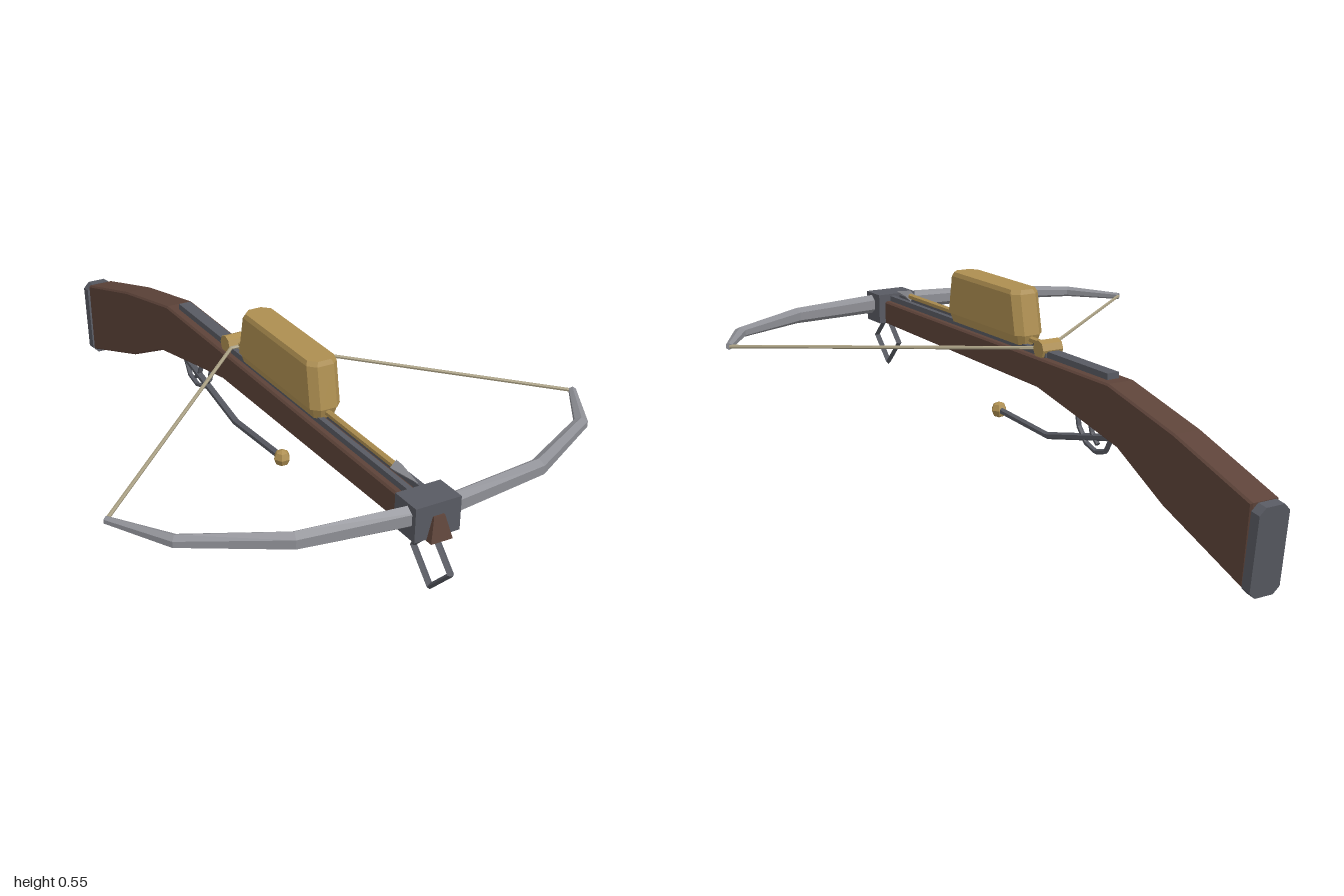
import * as THREE from 'three';

const mat = (name, color) => {
  const m = new THREE.MeshStandardMaterial({ color, flatShading: true });
  m.name = name;
  return m;
};
const V = (x, y, z) => new THREE.Vector3(x, y, z);

// Skin a row of closed rings and cap both ends
function loft(rings) {
  const n = rings[0].length, pos = [], idx = [];
  rings.forEach(r => r.forEach(p => pos.push(p.x, p.y, p.z)));
  for (let i = 0; i < rings.length - 1; i++) {
    for (let j = 0; j < n; j++) {
      const a = i * n + j, b = i * n + (j + 1) % n;
      idx.push(a, b, b + n, a, b + n, a + n);
    }
  }
  const last = (rings.length - 1) * n;
  for (let j = 1; j < n - 1; j++) {
    idx.push(0, j + 1, j, last, last + j, last + j + 1);
  }
  const g = new THREE.BufferGeometry();
  g.setAttribute('position', new THREE.Float32BufferAttribute(pos, 3));
  g.setIndex(idx);
  const flat = g.toNonIndexed();
  flat.computeVertexNormals();
  return flat;
}

// Horizontal rectangle ring with cut corners
function cutRect(y, w, z0, z1, c) {
  const pts = [[w - c, z1], [w, z1 - c], [w, z0 + c], [w - c, z0],
    [c - w, z0], [-w, z0 + c], [-w, z1 - c], [c - w, z1]];
  return pts.map(([x, z]) => V(x, y, z));
}

export function createModel() {
  const wood = mat('brownWood', 0x5d4339);
  const brass = mat('brass', 0xad8e50);
  const darkSteel = mat('darkSteel', 0x585a62);
  const steel = mat('bowSteel', 0x8e8f95);
  const cord = mat('cord', 0xaaa084);

  const model = new THREE.Group();
  model.name = 'crossbow';
  const add = (name, geo, material, x = 0, y = 0, z = 0) => {
    const m = new THREE.Mesh(geo, material);
    m.name = name;
    m.position.set(x, y, z);
    model.add(m);
    return m;
  };
  const box = (name, material, w, h, d, x, y, z) =>
    add(name, new THREE.BoxGeometry(w, h, d), material, x, y, z);
  // Straight bar between two points
  const bar = (name, a, b, r, material, sides = 6) => {
    const m = add(name, new THREE.CylinderGeometry(r, r, a.distanceTo(b), sides), material);
    m.position.copy(a).lerp(b, 0.5);
    m.quaternion.setFromUnitVectors(V(0, 1, 0), b.clone().sub(a).normalize());
    return m;
  };
  // Chain of bars in the centre plane, given as [z, y]
  const chain = (name, pts, r, material) => {
    for (let i = 0; i < pts.length - 1; i++) {
      bar(name, V(0, pts[i][1], pts[i][0]), V(0, pts[i + 1][1], pts[i + 1][0]), r, material);
    }
  };

  // Stock: side profile [z, y] extruded across the width
  const profile = [[0.92, 0.318], [0.92, 0.388], [-0.39, 0.388], [-0.67, 0.325], [-0.965, 0.235],
    [-0.942, 0.018], [-0.63, 0.13], [-0.43, 0.23], [-0.22, 0.272], [-0.05, 0.305]];
  const bevel = 0.005;
  const stock = new THREE.ExtrudeGeometry(
    new THREE.Shape(profile.map(p => new THREE.Vector2(...p))),
    { depth: 0.074, bevelEnabled: true, bevelSize: bevel, bevelThickness: bevel, bevelOffset: -bevel, bevelSegments: 1 });
  stock.translate(0, 0, -0.037).rotateY(-Math.PI / 2);
  add('stock', stock, wood);

  // Tapered wooden nose
  const noseRing = (y, w, z) => [V(-w, y, z), V(w, y, z), V(w, y, 0.9), V(-w, y, 0.9)];
  add('nose', loft([noseRing(0.317, 0.03, 0.945), noseRing(0.378, 0.015, 0.93)]), wood);

  // Butt plate with cut corners, leaning back
  const plate = cutRect(0, 0.045, 0, 0.232, 0.018).map(p => new THREE.Vector2(p.x, p.z));
  const butt = add('buttPlate', new THREE.ExtrudeGeometry(new THREE.Shape(plate),
    { depth: 0.03, bevelEnabled: false }), darkSteel, 0, 0.002, -0.97);
  butt.rotation.x = -0.13;

  // Rails on top of the stock, with a bolt groove between the front pair
  box('rearRail', darkSteel, 0.036, 0.02, 0.29, 0, 0.395, -0.21);
  for (const s of [-1, 1]) {
    box('frontRail', darkSteel, 0.015, 0.018, 0.92, s * 0.0165, 0.395, 0.39);
  }

  // Block holding the bow
  box('bowBlock', darkSteel, 0.126, 0.09, 0.085, 0, 0.365, 0.8825);

  // Bow limbs: [x, z, half depth, half height], mirrored
  const half = [[0, 0.9, 0.02, 0.03], [0.34, 0.855, 0.019, 0.024],
    [0.575, 0.728, 0.017, 0.016], [0.672, 0.574, 0.009, 0.01]];
  const spine = [...half.slice(1).reverse().map(([x, ...r]) => [-x, ...r]), ...half];
  const limbs = spine.map(([x, z, d, h], i) => {
    const a = spine[Math.max(i - 1, 0)], b = spine[Math.min(i + 1, spine.length - 1)];
    const n = V(a[1] - b[1], 0, b[0] - a[0]).normalize();
    return Array.from({ length: 6 }, (_, k) => {
      const t = (k + 0.5) * Math.PI / 3;
      return V(x, 0.374 - h * Math.sin(t), z).addScaledVector(n, d * Math.cos(t) / 0.866);
    });
  });
  add('bow', loft(limbs), steel);

  // Drawn string
  for (const s of [-1, 1]) {
    bar('string', V(s * 0.028, 0.407, -0.02), V(s * 0.67, 0.374, 0.574), 0.005, cord);
  }
  bar('stringCentre', V(-0.03, 0.407, -0.02), V(0.03, 0.407, -0.02), 0.005, cord);

  // Brass nut that holds the string
  bar('nut', V(-0.032, 0.408, -0.047), V(0.032, 0.408, -0.047), 0.026, brass, 8);

  // Magazine with its narrower foot
  add('magazine', loft([
    cutRect(0.428, 0.044, 0.035, 0.445, 0.02),
    cutRect(0.54, 0.044, 0.056, 0.424, 0.02),
    cutRect(0.552, 0.039, 0.062, 0.418, 0.02)]), brass);
  add('magazineFoot', loft([
    cutRect(0.4, 0.03, 0.045, 0.435, 0.012),
    cutRect(0.428, 0.038, 0.036, 0.444, 0.016)]), brass);

  // Loaded bolt
  bar('boltShaft', V(0, 0.416, -0.015), V(0, 0.416, 0.76), 0.009, brass);
  const head = add('boltHead', new THREE.ConeGeometry(0.017, 0.095, 4), steel, 0, 0.417, 0.795);
  head.rotation.x = Math.PI / 2;

  // Diamond foot stirrup
  const stirrup = add('stirrup', new THREE.TorusGeometry(0.076, 0.009, 4, 4), darkSteel, 0, 0.25, 0.91);
  stirrup.rotation.y = Math.PI / 2;

  // Cocking lever with a brass knob
  chain('lever', [[0.215, 0.174], [-0.045, 0.16], [-0.375, 0.236]], 0.01, darkSteel);
  add('leverKnob', new THREE.SphereGeometry(0.024, 6, 4), brass, 0, 0.174, 0.215);

  // Trigger guard and trigger
  chain('triggerGuard', [[-0.19, 0.275], [-0.2, 0.225], [-0.235, 0.187], [-0.28, 0.174],
    [-0.325, 0.186], [-0.36, 0.24]], 0.007, darkSteel);
  chain('trigger', [[-0.25, 0.265], [-0.262, 0.222], [-0.288, 0.196]], 0.007, darkSteel);

  return model;
}
